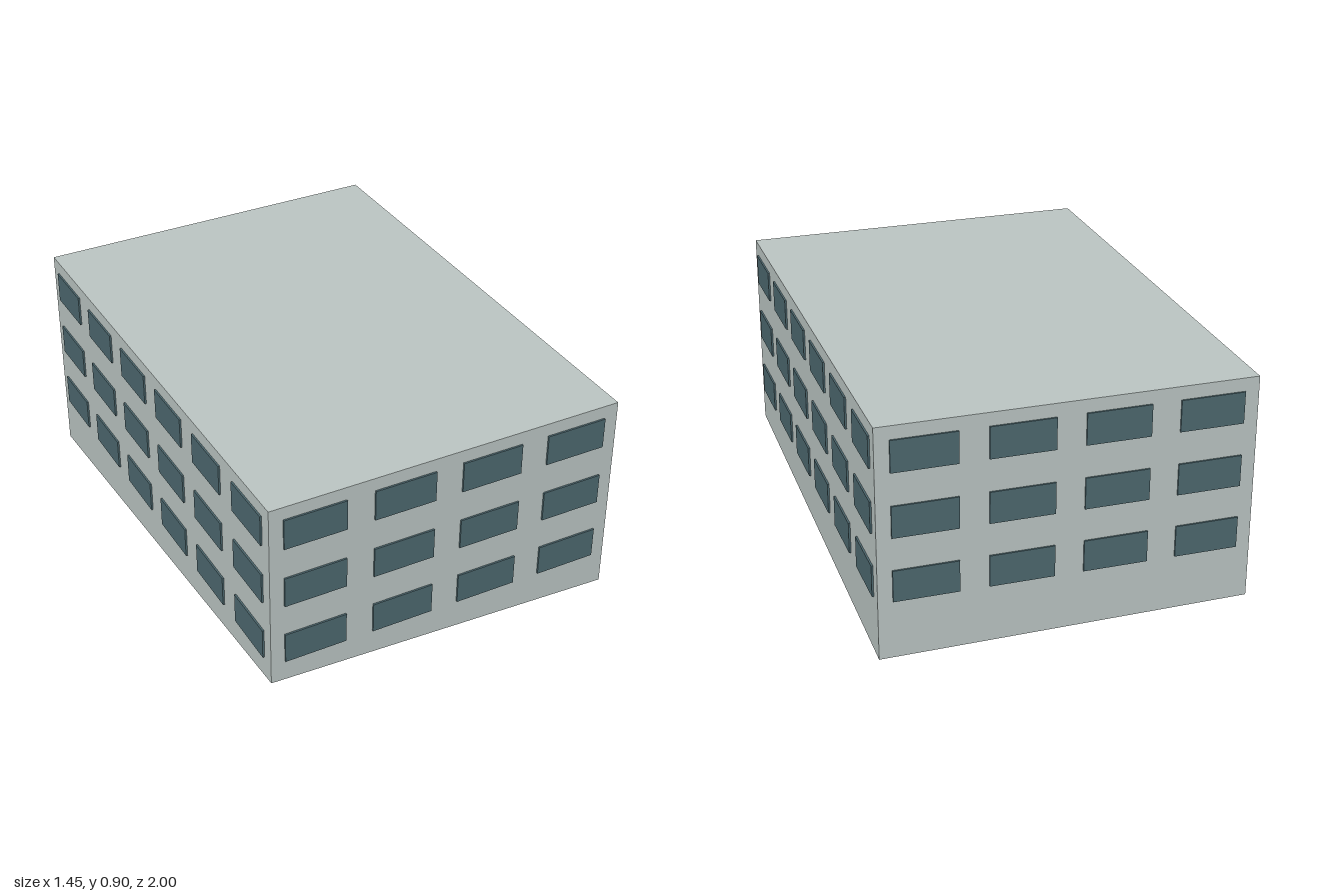
import * as THREE from 'three';

const ROOF = 0.904;

// Footprint corners, anticlockwise from above, with the sloping ground height at each
const CORNERS = [
  { x: -0.72, z: 0.977, base: 0.145 },
  { x: 0.695, z: 0.994, base: 0.083 },
  { x: 0.717, z: -0.977, base: 0 },
  { x: -0.698, z: -0.994, base: 0.013 },
];

function quadMesh(name, a, b, c, d, material) {
  const geometry = new THREE.BufferGeometry().setFromPoints([a, b, c, a, c, d]);
  geometry.computeVertexNormals();
  const mesh = new THREE.Mesh(geometry, material);
  mesh.name = name;
  return mesh;
}

export function createModel() {
  const concrete = new THREE.MeshStandardMaterial({ color: 0xbac4c2 });
  concrete.name = 'pale concrete';
  const glass = new THREE.MeshStandardMaterial({ color: 0x4c676e });
  glass.name = 'blue grey glass';

  const model = new THREE.Group();
  model.name = 'building';

  const low = CORNERS.map((c) => new THREE.Vector3(c.x, c.base, c.z));
  const high = CORNERS.map((c) => new THREE.Vector3(c.x, ROOF, c.z));

  // Flat roof and sloping underside
  model.add(quadMesh('roof', ...high, concrete));
  model.add(quadMesh('underside', low[0], low[3], low[2], low[1], concrete));

  // Each wall with its grid of thin window plates
  const names = ['front', 'left', 'back', 'right'];
  const bays = [4, 6, 4, 6];
  names.forEach((name, i) => {
    const j = (i + 1) % 4;
    model.add(quadMesh(name + 'Wall', low[i], low[j], high[j], high[i], concrete));

    const run = high[j].clone().sub(high[i]);
    const bay = run.length() / bays[i];
    const windows = new THREE.Group();
    windows.name = name + 'Windows';
    windows.position.set(CORNERS[i].x, 0, CORNERS[i].z);
    windows.rotation.y = Math.atan2(-run.z, run.x);
    const pane = new THREE.BoxGeometry(bay * 0.69, 0.123, 0.009);
    for (const y of [0.29, 0.541, 0.791]) {
      for (let k = 0; k < bays[i]; k++) {
        const mesh = new THREE.Mesh(pane, glass);
        mesh.name = 'window';
        mesh.position.set((k + 0.5) * bay, y, 0.0025);
        windows.add(mesh);
      }
    }
    model.add(windows);
  });

  return model;
}
